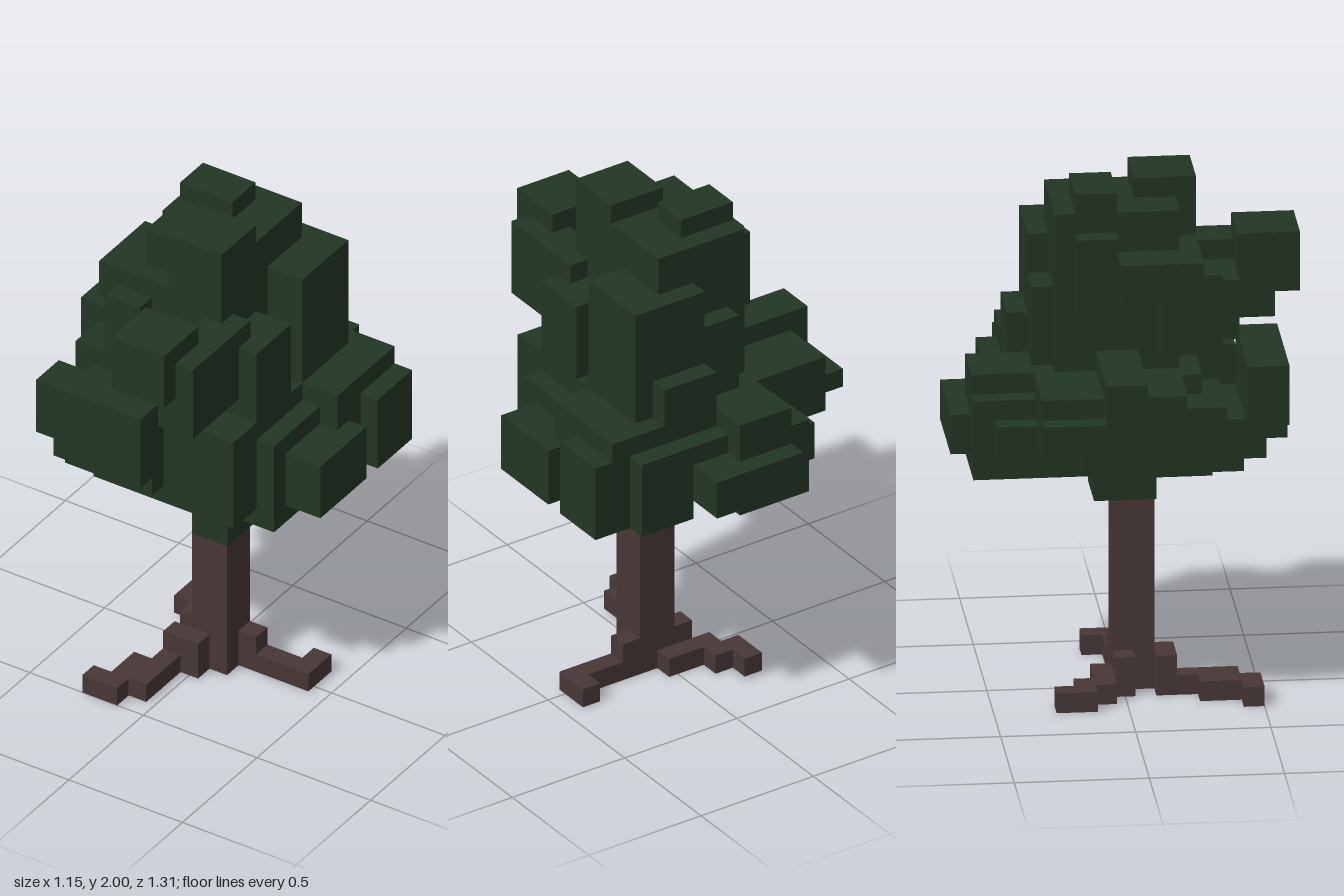
import * as THREE from 'three';

const U = 2 / 26; // one grid cell

const leaf = new THREE.MeshStandardMaterial({ color: 0x223524 });
leaf.name = 'darkGreenLeaf';
const bark = new THREE.MeshStandardMaterial({ color: 0x483737 });
bark.name = 'brownBark';

// Each block is [x0, x1, y0, y1, z0, z1] in grid cells
function addPart(parent, name, material, blocks) {
  const part = new THREE.Group();
  part.name = name;
  blocks.forEach(([x0, x1, y0, y1, z0, z1], n) => {
    const geo = new THREE.BoxGeometry((x1 - x0) * U, (y1 - y0) * U, (z1 - z0) * U);
    const mesh = new THREE.Mesh(geo, material);
    mesh.name = `${name}Block${n + 1}`;
    mesh.position.set(((x0 + x1) / 2 - 7.5) * U, ((y0 + y1) / 2) * U, ((z0 + z1) / 2 - 8.5) * U);
    part.add(mesh);
  });
  parent.add(part);
}

export function createModel() {
  const tree = new THREE.Group();
  tree.name = 'blockTree';

  addPart(tree, 'trunk', bark, [[7, 9, 0, 12, 8, 10]]);

  // Three stepped roots
  addPart(tree, 'frontRoot', bark, [
    [6, 8, 0, 2, 10, 11], [6, 7, 0, 1, 11, 13], [5, 7, 0, 1, 12, 14], [4, 6, 0, 1, 14, 15],
  ]);
  addPart(tree, 'sideRoot', bark, [
    [9, 10, 0, 2, 8, 9], [10, 12, 0, 1, 8, 9], [12, 13, 0, 1, 7, 9],
  ]);
  addPart(tree, 'backRoot', bark, [
    [6, 7, 0, 2, 8, 9], [6, 8, 0, 1, 7, 8], [5, 6, 0, 1, 6, 8], [4, 5, 0, 1, 5, 7],
  ]);

  // Crown top and core
  addPart(tree, 'crownTop', leaf, [
    [5, 10, 12, 25, 5, 11],
    [7, 10, 18, 26, 9, 12],
    [5, 8, 25, 26, 6, 8],
    [4, 8, 20, 24, 6, 8],
    [3, 7, 21, 23, 8, 12],
    [8, 12, 17, 23, 4, 8],
    [10, 12, 16, 21, 9, 12],
    [6, 8, 17, 21, 4, 5],
    [8, 11, 16, 19, 3, 6],
    [4, 6, 18, 22, 10, 13],
  ]);

  // Front clumps
  addPart(tree, 'frontLeaves', leaf, [
    [7, 10, 20, 23, 14, 17],
    [9, 11, 18, 22, 11, 16],
    [6, 10, 18, 21, 11, 14],
    [2, 8, 15, 18, 14, 16],
    [3, 8, 14, 15, 14, 16],
    [3, 8, 13, 15, 12, 15],
    [4, 8, 12, 14, 10, 14],
    [8, 12, 12, 17, 10, 14],
  ]);

  // Left and right side clumps
  addPart(tree, 'sideLeaves', leaf, [
    [4, 12, 12, 17, 4, 12],
    [0, 5, 15, 18, 7, 9],
    [0, 5, 15, 16, 4, 7],
    [1, 5, 14, 17, 4, 11],
    [2, 6, 13, 16, 6, 13],
    [11, 15, 12, 15, 7, 11],
    [11, 15, 12, 16, 3, 6],
    [11, 14, 13, 17, 3, 8],
    [10, 13, 11, 16, 8, 12],
  ]);

  // Back clumps
  addPart(tree, 'backLeaves', leaf, [
    [5, 10, 13, 15, 0, 4],
    [4, 8, 12, 16, 1, 4],
    [5, 8, 15, 17, 1, 4],
    [3, 7, 13, 15, 2, 6],
    [10, 13, 12, 16, 2, 5],
    [4, 10, 13, 16, 2, 5],
  ]);

  // Hanging clumps around the top of the trunk
  addPart(tree, 'lowerLeaves', leaf, [
    [9, 11, 10, 12, 8, 13],
    [6, 9, 10, 12, 7, 8],
    [6, 7, 10, 12, 7, 10],
  ]);

  return tree;
}
